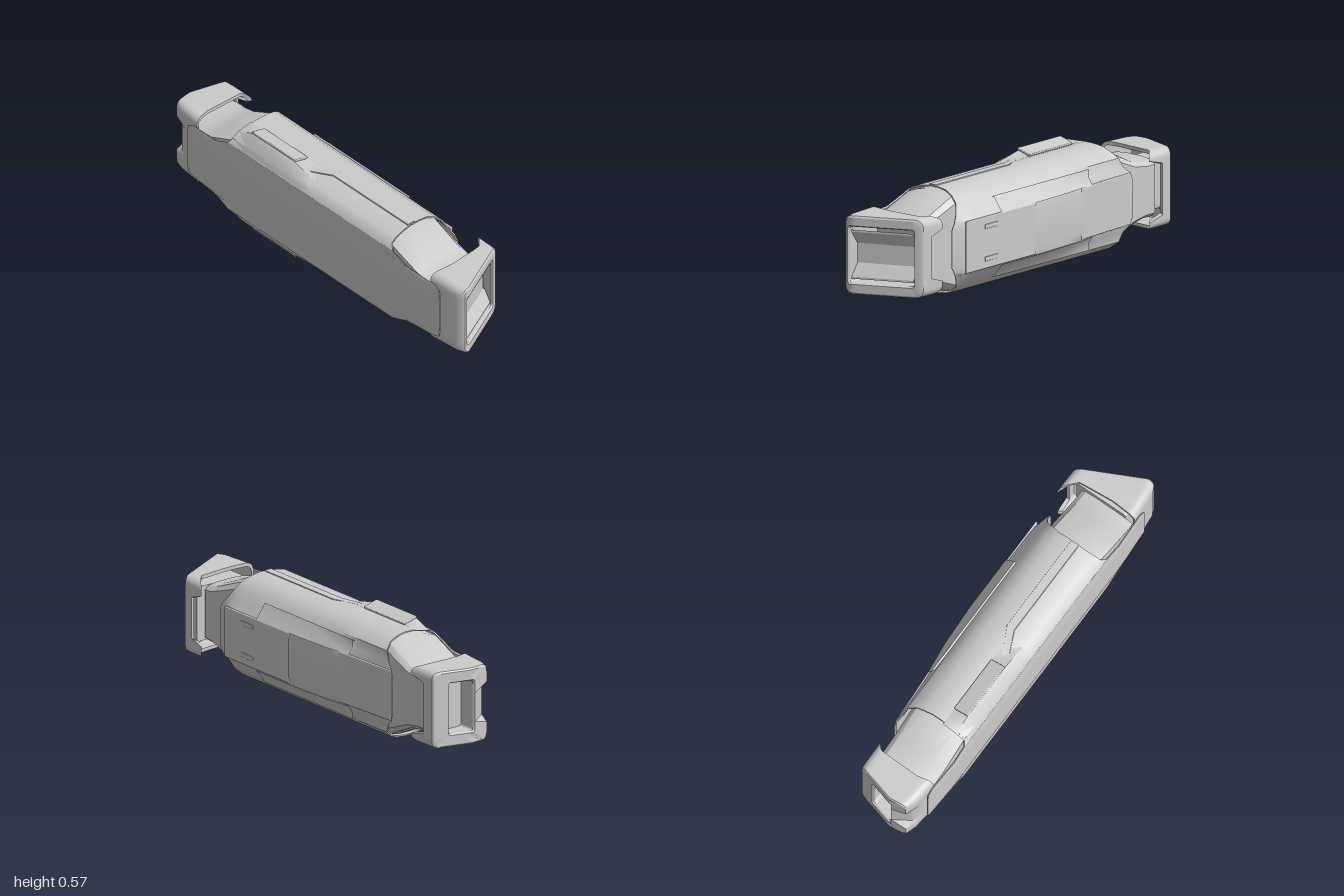
import * as THREE from 'three';
import { toCreasedNormals } from 'three/addons/utils/BufferGeometryUtils.js';
import { RoundedBoxGeometry } from 'three/addons/geometries/RoundedBoxGeometry.js';

const MID = 0.286; // height of the long axis
const material = new THREE.MeshStandardMaterial({ color: 0xcccccc, side: THREE.DoubleSide });

// Piecewise linear lookup in a list of [key, value]
function lerpTable(table, k) {
  if (k <= table[0][0]) return table[0][1];
  for (let i = 1; i < table.length; i++) {
    const [a, va] = table[i - 1], [b, vb] = table[i];
    if (k <= b) return va + (vb - va) * (k - a) / (b - a);
  }
  return table[table.length - 1][1];
}

// Skin rows of [x, y, z] points; closed joins each row's end to its start
function skin(rows, closed, capStart = false, capEnd = false) {
  const n = rows[0].length, pos = rows.flat(2), index = [];
  for (let i = 0; i < rows.length - 1; i++) {
    for (let j = 0; j < (closed ? n : n - 1); j++) {
      const a = i * n + j, b = i * n + (j + 1) % n;
      index.push(a, b, a + n, b, b + n, a + n);
    }
  }
  const fan = (row, flip) => {
    const c = pos.length / 3, base = row * n;
    for (let k = 0; k < 3; k++) pos.push(rows[row].reduce((s, p) => s + p[k], 0) / n);
    for (let j = 0; j < n; j++) {
      const a = base + j, b = base + (j + 1) % n;
      index.push(c, flip ? b : a, flip ? a : b);
    }
  };
  if (capStart) fan(0, true);
  if (capEnd) fan(rows.length - 1, false);
  const g = new THREE.BufferGeometry();
  g.setAttribute('position', new THREE.Float32BufferAttribute(pos, 3));
  g.setIndex(index);
  return toCreasedNormals(g, 0.5);
}

function add(parent, name, geometry) {
  const m = new THREE.Mesh(geometry, material);
  m.name = name;
  parent.add(m);
  return m;
}

function box(parent, name, size, at, r = 0.004) {
  const m = add(parent, name, new RoundedBoxGeometry(...size, 2, r));
  m.position.set(...at);
  return m;
}

// Complete a half section by mirroring it in y
const mirrorY = (half) => [...half, ...half.slice(1, -1).reverse().map(([z, y, ...r]) => [z, -y, ...r])];

// Rounded rectangle of [y, z] points with finely divided edges
function roundedRect(hy, z0, z1, r) {
  const pts = [], corners = [[hy - r, z1 - r], [hy - r, z0 + r], [-hy + r, z0 + r], [-hy + r, z1 - r]];
  corners.forEach(([cy, cz], k) => {
    for (let i = 0; i <= 5; i++) {
      const a = (k + i / 5) * Math.PI / 2;
      pts.push([cy + r * Math.sin(a), cz + r * Math.cos(a)]);
    }
    const [ny, nz] = corners[(k + 1) % 4], e = (k + 1) * Math.PI / 2;
    for (let i = 1; i < 12; i++) {
      const t = i / 12;
      pts.push([cy + (ny - cy) * t + r * Math.sin(e), cz + (nz - cz) * t + r * Math.cos(e)]);
    }
  });
  // Start the walk at the top edge so that every ring lines up
  return pts;
}

// Hollow end frame: open rim, outer wall, end face, window, recess and floor
function endFrame(o) {
  const ring = (hy, z0, z1, r, x) => roundedRect(hy, z0, z1, r).map(([y, z]) => [x(z, y), y, z]);
  const [b, f] = o.z, [wb, wf] = o.window;
  const rows = [
    ring(0.172, b + 0.015, f - 0.012, 0.03, o.rim),
    ring(0.19, b, f, 0.04, o.rim),
    ring(0.19, b + 0.001, f - 0.014, 0.04, (z, y) => o.face(z, y) - o.dir * 0.04),
    ring(0.188, b + 0.004, f - 0.029, 0.035, (z, y) => o.face(z, y) - o.dir * 0.006),
    ring(0.18, b + 0.012, f - 0.036, 0.03, o.face),
    ring(o.hw + 0.006, wb - 0.006, wf + 0.006, 0.014, o.face),
    ring(o.hw, wb, wf, 0.012, (z, y) => o.face(z, y) - o.dir * 0.01),
    ring(o.hw, wb, wf, 0.012, () => o.floor),
  ];
  return skin(rows, true, false, true);
}

export function createModel() {
  const model = new THREE.Group();
  model.name = 'device';
  const body = new THREE.Group();
  body.name = 'body';
  body.position.y = MID;
  model.add(body);

  // Inner core with narrow necks at both ends
  const coreHalf = [[0.178, 0], [0.178, 0.87], [0.12, 0.96], [0.06, 1], [-0.04, 1], [-0.09, 0.95], [-0.113, 0.82], [-0.113, 0]];
  const coreRows = [[-0.86, 0.143], [-0.8, 0.143], [-0.72, 0.16], [-0.57, 0.235], [0.53, 0.238], [0.7, 0.165], [0.75, 0.147], [0.79, 0.143]]
    .map(([x, h]) => mirrorY(coreHalf).map(([z, y]) => [x, y * h, z]));
  add(body, 'core', skin(coreRows, true, true, true));

  // Outer shell: section points [z, y, reach to -x, reach to +x]
  const shellHalf = [
    [0.2, 0, 0.87, 0.87], [0.2, 0.08, 0.87, 0.87], [0.2, 0.135, 0.865, 0.865], [0.197, 0.15, 0.83, 0.83],
    [0.197, 0.157, 0.67, 0.66], [0.197, 0.194, 0.585, 0.555], [0.18, 0.219, 0.565, 0.53], [0.15, 0.235, 0.56, 0.525], [0.1, 0.247, 0.56, 0.52],
    [0.05, 0.257, 0.56, 0.52], [0, 0.257, 0.56, 0.52], [-0.05, 0.25, 0.565, 0.52], [-0.09, 0.235, 0.57, 0.53],
    [-0.13, 0.202, 0.59, 0.54], [-0.165, 0.155, 0.615, 0.565], [-0.192, 0.125, 0.65, 0.59], [-0.197, 0.09, 0.66, 0.61], [-0.197, 0, 0.66, 0.61],
  ];
  const backDepth = [[-0.65, -0.155], [-0.4, -0.165], [-0.2, -0.187], [0, -0.197], [0.5, -0.192], [0.62, -0.165]];
  const shellRows = [];
  for (let i = 0; i <= 32; i++) {
    shellRows.push(mirrorY(shellHalf).map(([z, y, xn, xp]) => {
      const x = -xn + (xn + xp) * i / 32;
      const front = z > 0.1 ? 0.01 * THREE.MathUtils.smoothstep(Math.abs(x), 0.65, 0.88) : 0;
      const k = THREE.MathUtils.clamp((-z - 0.13) / 0.05, 0, 1);
      return [x, y, z - front + k * (lerpTable(backDepth, x) + 0.197)];
    }));
  }
  const inner = shellRows.map((row) => row.map(([x, y, z]) => [x, y * 0.975, z * 0.97])).reverse();
  add(body, 'shell', skin([...shellRows, ...inner, shellRows[0]], true));

  // Raised ridge and button on the upper and lower sides
  for (const s of [1, -1]) {
    const side = new THREE.Group();
    side.name = s > 0 ? 'upperSide' : 'lowerSide';
    side.scale.y = s;
    body.add(side);
    const ridge = [[-0.57, 0], [-0.48, 1], [-0.2, 1], [-0.04, 0]].map(([x, h]) => [
      [x, 0.19, 0.197], [x, 0.219 + 0.006 * h, 0.18 + 0.004 * h], [x, 0.238 + 0.036 * h, 0.138], [x, 0.253 + 0.006 * h, 0.062],
    ]);
    add(side, 'ridge', skin(ridge, false));
    box(side, 'button', [0.3, 0.012, 0.08], [-0.33, 0.27, 0.1]).rotation.x = -0.26;
    // Trim strip bending down from the ridge and along the side
    const trim = [[-0.17, 0.107, 0.142, 0.246, 0.238], [0, 0.02, 0.065, 0.259, 0.256], [0.515, 0.02, 0.065, 0.259, 0.256]]
      .map(([x, z0, z1, y0, y1]) => [[x, y0 - 0.004, z0], [x, y0 + 0.002, z0 + 0.002], [x, y1 + 0.004, z1 - 0.002], [x, y1 - 0.004, z1]]);
    add(side, 'trimStrip', skin(trim, true, true, true));
    // Raised band along the back bevel
    const band = [[-0.36, -0.172], [-0.2, -0.19], [0, -0.2], [0.3, -0.2]].map(([x, z]) => [
      [x, 0.188, -0.138], [x, 0.196, -0.147], [x, 0.155, Math.max(-0.176, z + 0.02)], [x, 0.126, z],
    ]);
    add(side, 'backBand', skin(band, false));
    box(side, 'backCatch', [0.09, 0.022, 0.008], [0.37, 0.078, -0.197], 0.003);
  }

  // Back plates
  box(body, 'backPlate', [0.48, 0.25, 0.012], [0.3, 0, -0.192], 0.005);
  box(body, 'rearCover', [0.37, 0.25, 0.012], [-0.465, 0, -0.16], 0.005).rotation.y = 0.06;

  // Left end: slanted frame with a hooked back rim
  const leftFace = (z) => Math.min(0.84 + (z + 0.2) * 0.5, 1.0);
  add(body, 'leftEndFrame', endFrame({
    dir: 1, z: [-0.197, 0.184], window: [-0.152, 0.13], hw: 0.135, floor: 0.8, face: leftFace,
    rim: (z, y) => {
      const x = lerpTable([[-0.197, 0.71], [-0.17, 0.75], [-0.13, 0.795], [0.05, 0.81], [0.19, 0.8]], z);
      return Math.abs(y) < 0.12 ? Math.max(x, 0.785) : x;
    },
  }));

  // Slanted louvres inside the left window
  for (const s of [1, -1]) {
    const rows = [-0.145, 0.125].map((z) => {
      const x = leftFace(z);
      return [[x - 0.015, s * 0.118, z], [x - 0.015, s * 0.108, z], [x - 0.055, s * 0.047, z], [x - 0.055, s * 0.057, z]];
    });
    add(body, 'louvre', skin(rows, true, true, true));
  }
  add(body, 'louvreFloor', skin([-0.13, 0.125].map((z) => [[leftFace(z) - 0.055, 0.05, z], [leftFace(z) - 0.055, -0.05, z]]), false));

  // Right end: two arms joined by a narrow frame, notched at the front
  add(body, 'rightEndFrame', endFrame({
    dir: -1, z: [-0.143, 0.184], window: [-0.055, 0.065], hw: 0.125, floor: -0.9,
    face: (z, y) => {
      const x = lerpTable([[-0.14, -0.945], [0.06, -1], [0.15, -0.99], [0.19, -0.96]], z);
      return z > 0.12 && Math.abs(y) < 0.09 ? Math.max(x, -0.95) : x;
    },
    rim: (z, y) => {
      if (Math.abs(y) < 0.14 && z < 0) return -0.88;
      return lerpTable([[-0.143, -0.785], [-0.11, -0.825], [0.1, -0.83], [0.19, -0.81]], z);
    },
  }));
  return model;
}
